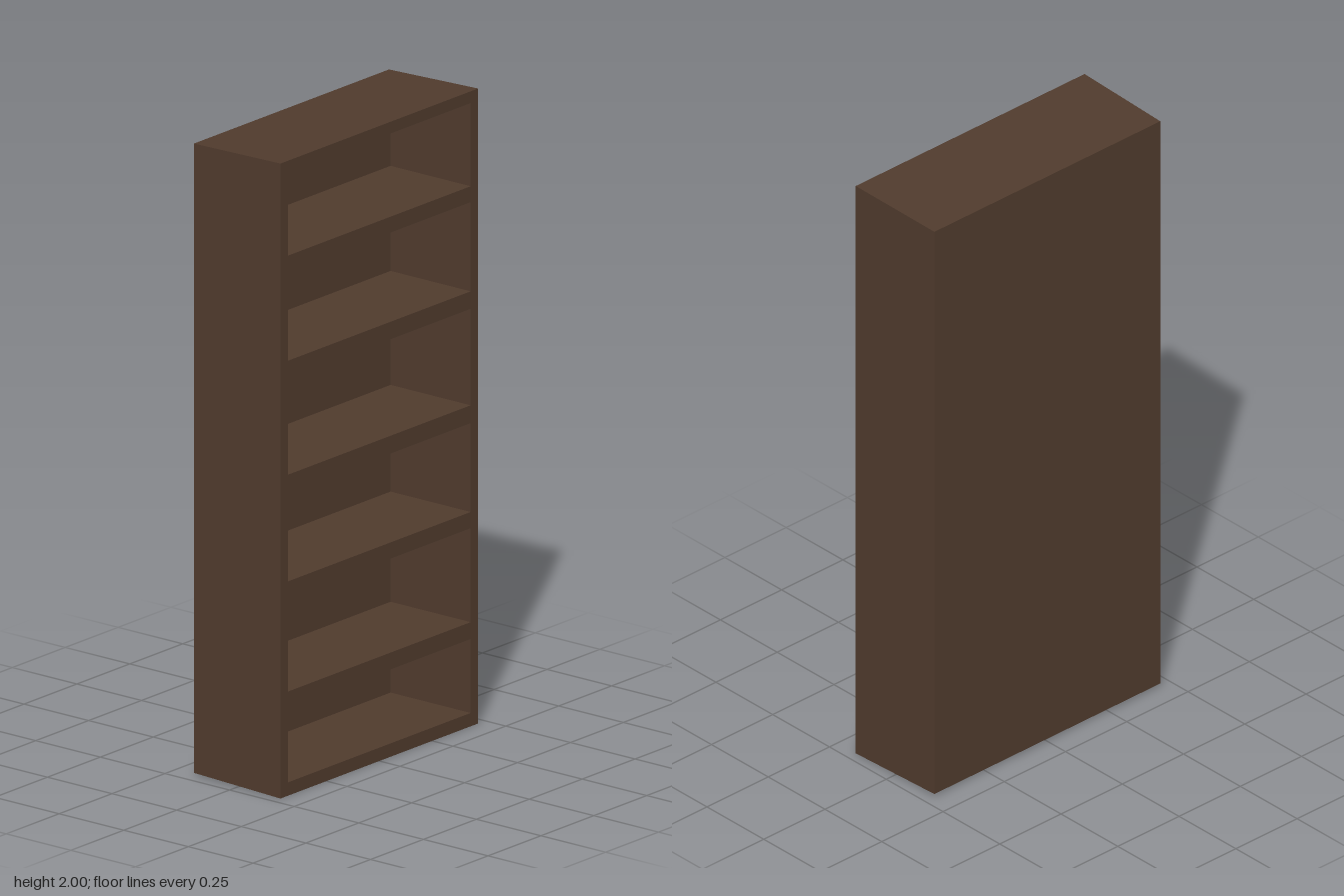
import * as THREE from 'three';

const W = 0.467, H = 2, ZF = 0.17; // front half width, height, half depth
const BW = 0.461, BY = 0.009; // the back is slightly smaller all round
const CW = 0.432, CZ = -0.14; // compartment half width and back
// bottom and top of each compartment
const cells = [[0.042, 0.275], [0.328, 0.624], [0.675, 0.955], [1.011, 1.315], [1.37, 1.651], [1.701, 1.963]];

// flat panels from four corners each, counter-clockwise seen from outside
function panels(quads) {
  const pos = [];
  for (const [a, b, c, d] of quads) pos.push(...a, ...b, ...c, ...a, ...c, ...d);
  const g = new THREE.BufferGeometry();
  g.setAttribute('position', new THREE.Float32BufferAttribute(pos, 3));
  g.computeVertexNormals();
  return g;
}

// four corners of an upright rectangle, counter-clockwise from lower left
const ring = (w, y0, y1, z) => [[-w, y0, z], [w, y0, z], [w, y1, z], [-w, y1, z]];

export function createModel() {
  const group = new THREE.Group();
  group.name = 'bookcase';
  const wood = new THREE.MeshStandardMaterial({ color: 0x503b2d, side: THREE.DoubleSide });
  wood.name = 'dark wood';
  const add = (name, geometry) => {
    const mesh = new THREE.Mesh(geometry, wood);
    mesh.name = name;
    group.add(mesh);
    return mesh;
  };

  // face frame with one opening per compartment
  const face = new THREE.Shape(ring(W, 0, H, 0).map(([x, y]) => new THREE.Vector2(x, y)));
  for (const [y0, y1] of cells) {
    face.holes.push(new THREE.Path(ring(CW, y0, y1, 0).reverse().map(([x, y]) => new THREE.Vector2(x, y))));
  }
  add('faceFrame', new THREE.ShapeGeometry(face)).position.z = ZF;

  // tapered outer carcass, open underneath
  const f = ring(W, 0, H, ZF), b = ring(BW, BY, H - BY, -ZF);
  add('rightSide', panels([[b[0], f[0], f[3], b[3]]]));
  add('leftSide', panels([[f[1], b[1], b[2], f[2]]]));
  add('top', panels([[f[3], f[2], b[2], b[3]]]));
  add('back', panels([[b[1], b[0], b[3], b[2]]]));

  // compartments: floor, ceiling, two walls and a back, facing inward
  cells.forEach(([y0, y1], i) => {
    const p = ring(CW, y0, y1, ZF), q = ring(CW, y0, y1, CZ);
    add('compartment' + (i + 1), panels([
      [p[0], p[1], q[1], q[0]],
      [q[3], q[2], p[2], p[3]],
      [p[0], q[0], q[3], p[3]],
      [q[1], p[1], p[2], q[2]],
      [q[0], q[1], q[2], q[3]],
    ]));
  });
  return group;
}
